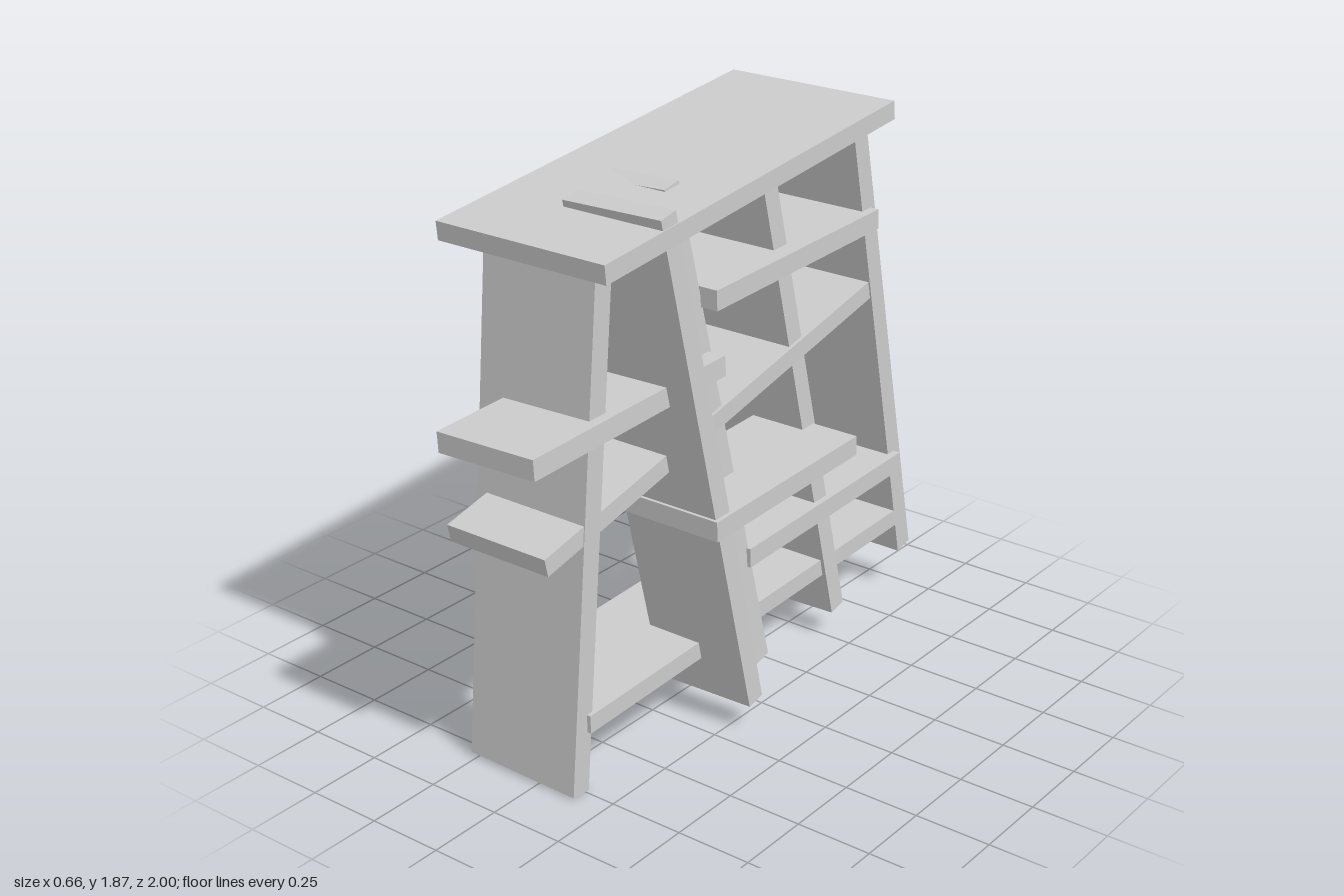
import * as THREE from 'three';

const material = new THREE.MeshStandardMaterial({ color: 0xcccccc, flatShading: true });

// A plank running from point a to point b; its width lies across x.
function board(name, a, b, width, thick, roll = 0) {
  const start = new THREE.Vector3(...a);
  const end = new THREE.Vector3(...b);
  const along = end.clone().sub(start);
  const length = along.length();
  along.normalize();
  const across = new THREE.Vector3(1, 0, 0).addScaledVector(along, -along.x).normalize();
  const normal = new THREE.Vector3().crossVectors(along, across);
  const mesh = new THREE.Mesh(new THREE.BoxGeometry(width, thick, length), material);
  mesh.name = name;
  mesh.quaternion.setFromRotationMatrix(new THREE.Matrix4().makeBasis(across, normal, along));
  mesh.rotateZ(roll);
  mesh.position.addVectors(start, end).multiplyScalar(0.5);
  return mesh;
}

export function createModel() {
  const group = new THREE.Group();
  group.name = 'leaningShelf';

  const boards = [
    // sloping top
    ['topBoard', [-0.025, 1.693, 0.785], [-0.025, 1.84, -0.615], 0.62, 0.06],
    // outer side panels
    ['frontPanel', [-0.035, 1.69, 0.655], [-0.065, 0.01, 0.77], 0.415, 0.07],
    ['backPanel', [-0.045, 1.83, -0.6], [-0.045, 0.162, -0.965], 0.41, 0.07],
    // inner leaning uprights
    ['frontUpright', [0.1, 1.783, 0.505], [0.15, 0.1, 0.14], 0.36, 0.067],
    ['middleUpright', [-0.07, 1.777, 0.275], [0.01, 0.1, -0.085], 0.36, 0.067],
    ['rearUpright', [-0.06, 1.775, -0.165], [0, 0.1, -0.53], 0.36, 0.067],
    // shelves
    ['upperFrontShelf', [0.02, 1.167, 1.0], [0.02, 1.2, 0.135], 0.36, 0.066, -0.03],
    ['diagonalShelf', [-0.033, 0.825, 0.91], [-0.033, 1.195, -0.715], 0.375, 0.06],
    ['upperBackShelf', [0.005, 1.417, 0.165], [0.005, 1.447, -0.69], 0.37, 0.066],
    ['middleShelf', [0.14, 0.765, 0.335], [0.14, 0.79, -0.4], 0.365, 0.066],
    ['lowerBackShelf', [0, 0.495, -0.02], [0, 0.525, -0.88], 0.37, 0.066],
    ['bottomShelf', [-0.04, 0.238, 0.74], [-0.04, 0.295, -0.92], 0.4, 0.06],
  ];
  for (const b of boards) group.add(board(...b));

  return group;
}
